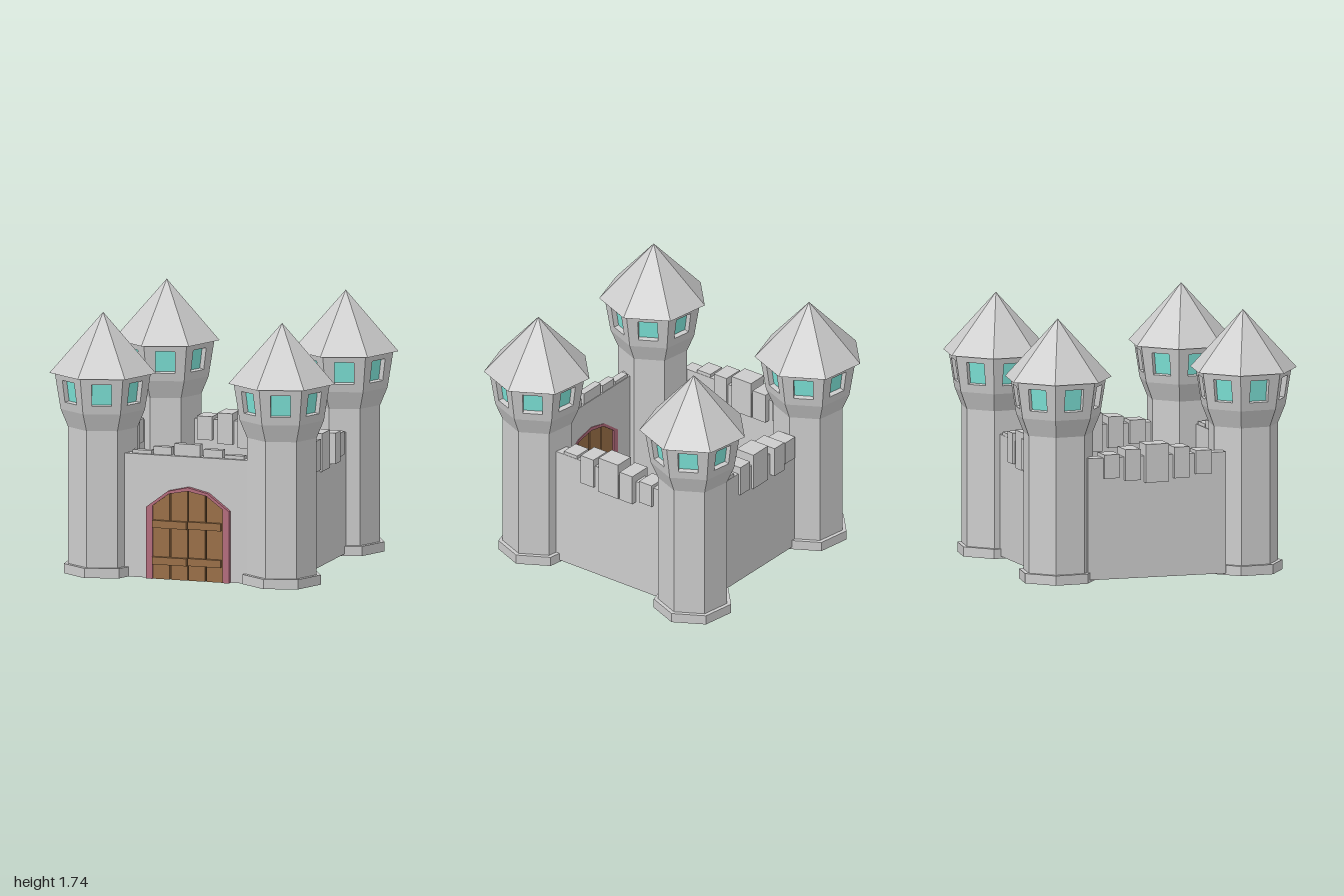
import * as THREE from 'three';

const mat = (color) => new THREE.MeshStandardMaterial({ color, flatShading: true, side: THREE.DoubleSide });
const stone = mat(0xcccccc), glassMat = mat(0x80e8dc), frameMat = mat(0xb46c7d);
const wood = mat(0x996f46), darkWood = mat(0x4a3420);

const SIDES = 7, STEP = (Math.PI * 2) / SIDES, TURN = THREE.MathUtils.degToRad(94);

function add(parent, name, geometry, material) {
  const mesh = new THREE.Mesh(geometry, material);
  mesh.name = name;
  parent.add(mesh);
  return mesh;
}

// Box given by its limits on each axis
function block(parent, name, [x0, x1], [y0, y1], [z0, z1], material = stone) {
  const mesh = add(parent, name, new THREE.BoxGeometry(x1 - x0, y1 - y0, z1 - z0), material);
  mesh.position.set((x0 + x1) / 2, (y0 + y1) / 2, (z0 + z1) / 2);
  return mesh;
}

const polygon = (pts) => new THREE.Shape(pts.map(([x, y]) => new THREE.Vector2(x, y)));

// Flat outline, with optional hole, extruded from z0 to z1
function slab(parent, name, outline, hole, z0, z1, material) {
  const shape = polygon(outline);
  if (hole) shape.holes.push(polygon(hole));
  const geometry = new THREE.ExtrudeGeometry(shape, { depth: z1 - z0, bevelEnabled: false });
  geometry.translate(0, 0, z0);
  return add(parent, name, geometry, material);
}

function createTower(x, z) {
  const tower = new THREE.Group();
  tower.name = 'tower';
  tower.position.set(x, 0, z);

  // Plinth, shaft and flare in one seven-sided profile
  const profile = [[0.264, 0], [0.264, 0.065], [0.235, 0.065], [0.235, 0.98], [0.285, 1.1]];
  add(tower, 'towerShaft', new THREE.LatheGeometry(
    profile.map(([r, y]) => new THREE.Vector2(r, y)), SIDES, TURN), stone);

  // Leaning lookout panels, each with a recessed window
  const r0 = 0.285, r1 = 0.325, rise = 0.245;
  const inner = r0 * Math.cos(STEP / 2), lean = (r1 - r0) * Math.cos(STEP / 2);
  const h = Math.hypot(rise, lean), w0 = r0 * Math.sin(STEP / 2), w1 = r1 * Math.sin(STEP / 2);
  for (let i = 0; i < SIDES; i++) {
    const side = new THREE.Group();
    side.name = 'lookoutSide';
    side.rotation.y = TURN + STEP * (i + 0.5);
    const panel = new THREE.Group();
    panel.name = 'lookoutPanel';
    panel.position.set(0, 1.1, inner);
    panel.rotation.x = Math.atan2(lean, rise);
    slab(panel, 'lookoutWall', [[-w0, 0], [w0, 0], [w1, h], [-w1, h]],
      [[-0.065, 0.055], [-0.065, 0.205], [0.065, 0.205], [0.065, 0.055]], -0.04, 0, stone);
    block(panel, 'windowGlass', [-0.068, 0.068], [0.052, 0.208], [-0.045, -0.035], glassMat);
    side.add(panel);
    tower.add(side);
  }

  // Pointed roof
  const roof = add(tower, 'towerRoof', new THREE.ConeGeometry(0.36, 0.395, SIDES, 1, false, TURN), stone);
  roof.position.y = 1.345 + 0.395 / 2;
  return tower;
}

// Plain wall running along z, with uneven merlons straddling its top
function createWall() {
  const wall = new THREE.Group();
  wall.name = 'curtainWall';
  block(wall, 'wallBody', [-0.047, 0.047], [0.015, 0.825], [-0.48, 0.48]);
  const merlons = [ // z limits, x limits, y limits
    [[0.26, 0.37], [-0.08, 0.045], [0.69, 0.848]],
    [[0.11, 0.215], [-0.08, 0.065], [0.67, 0.877]],
    [[-0.09, 0.07], [-0.08, 0.06], [0.65, 0.905]],
    [[-0.23, -0.125], [-0.08, 0.087], [0.67, 0.877]],
    [[-0.375, -0.27], [-0.075, 0.065], [0.69, 0.848]],
  ];
  for (const [z, x, y] of merlons) block(wall, 'merlon', x, y, z);
  return wall;
}

// Height of the faceted door arch at x
function archTop(x) {
  const a = Math.min(Math.abs(x), 0.245);
  return a < 0.13 ? 0.6 - (a / 0.13) * 0.025 : 0.575 - ((a - 0.13) / 0.115) * 0.085;
}

function createGate() {
  const gate = new THREE.Group();
  gate.name = 'gate';
  const outer = [[-0.288, 0], [0.288, 0], [0.288, 0.48], [0.14, 0.592], [0, 0.625], [-0.14, 0.592], [-0.288, 0.48]];
  const opening = [[-0.245, 0], [0.245, 0], [0.245, 0.49], [0.13, 0.575], [0, 0.6], [-0.13, 0.575], [-0.245, 0.49]];
  const arch = (pts) => [...pts.slice(2), pts[0]];

  // Wall around the doorway
  const around = [[-0.53, 0], ...arch(outer).slice(-1), ...arch(outer).slice(0, -1).reverse(),
    [0.288, 0], [0.52, 0], [0.52, 0.825], [-0.53, 0.825]];
  slab(gate, 'gateWall', around, null, 0.668, 0.742, stone);

  // Door frame
  const frame = [outer[0], ...outer.slice(2).reverse(), outer[1], opening[1], ...opening.slice(2), opening[0]];
  slab(gate, 'doorFrame', frame, null, 0.664, 0.775, frameMat);

  // Planks over a dark core that shows in the grooves
  slab(gate, 'doorCore', opening, null, 0.7, 0.74, darkWood);
  for (let i = 0; i < 4; i++) {
    const x0 = -0.245 + i * 0.1225 + (i ? 0.005 : 0), x1 = -0.245 + (i + 1) * 0.1225 - (i < 3 ? 0.005 : 0);
    const tops = [x1, ...[0.13, -0.13].filter((k) => k > x0 && k < x1), x0];
    slab(gate, 'doorPlank', [[x0, 0], [x1, 0], ...tops.map((x) => [x, archTop(x)])], null, 0.68, 0.765, wood);
  }

  // Cross bars on both leaves
  for (const y of [0.1, 0.345]) {
    block(gate, 'doorBar', [-0.243, -0.004], [y, y + 0.05], [0.76, 0.79], wood);
    block(gate, 'doorBar', [0.004, 0.235], [y + 0.003, y + 0.053], [0.76, 0.79], wood);
  }

  // Low merlons
  const merlons = [[-0.4, -0.27, 0.848], [-0.255, -0.13, 0.878], [-0.11, 0.07, 0.905],
    [0.095, 0.225, 0.878], [0.24, 0.375, 0.848]];
  for (const [x0, x1, top] of merlons) block(gate, 'gateMerlon', [x0, x1], [0.82, top], [0.672, 0.722]);
  return gate;
}

export function createModel() {
  const castle = new THREE.Group();
  castle.name = 'castle';

  for (const x of [-0.635, 0.611]) for (const z of [-0.655, 0.636]) castle.add(createTower(x, z));

  // Side and back walls share one design
  const walls = [[0.635, 0, 0], [-0.77, -0.025, 0], [-0.025, -0.655, Math.PI / 2]];
  for (const [x, z, turn] of walls) {
    const wall = createWall();
    wall.position.set(x, 0, z);
    wall.rotation.y = turn;
    castle.add(wall);
  }

  castle.add(createGate());
  return castle;
}
